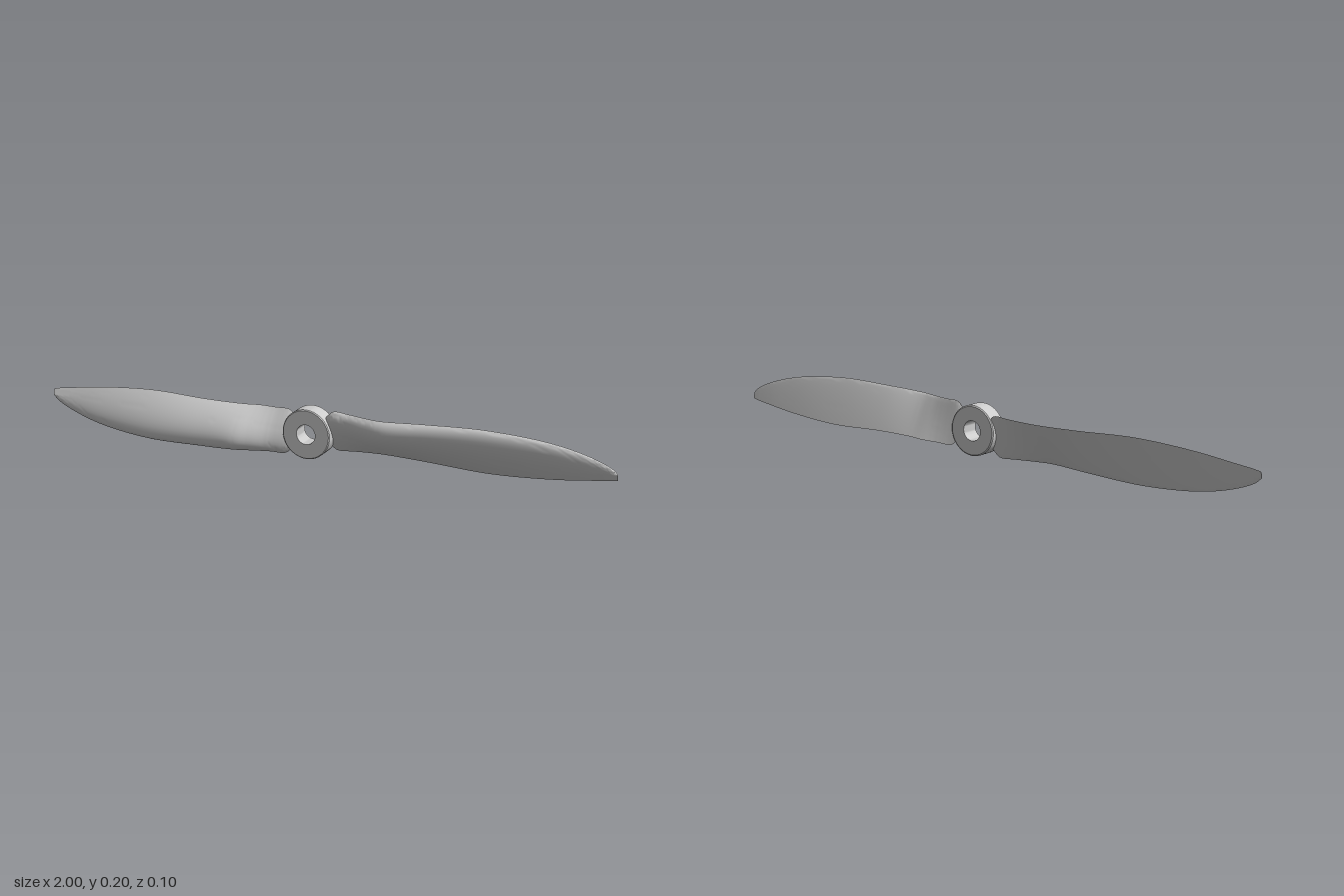
import * as THREE from 'three';
import { toCreasedNormals } from 'three/addons/utils/BufferGeometryUtils.js';

const CENTRE_Y = 0.104;
const material = new THREE.MeshStandardMaterial({ color: 0xcccccc });

// Stations along the blade: x, trailing edge y z, leading edge y z, thickness
const STATIONS = [
  [0.06, 0.068, -0.038, 0.165, -0.012, 0.016],
  [0.085, 0.047, -0.043, 0.186, -0.01, 0.024],
  [0.14, 0.048, -0.049, 0.187, -0.002, 0.029],
  [0.2, 0.05, -0.054, 0.188, 0.014, 0.036],
  [0.26, 0.053, -0.05, 0.19, 0.027, 0.039],
  [0.4, 0.053, -0.043, 0.198, 0.021, 0.034],
  [0.6, 0.048, -0.04, 0.205, 0.011, 0.027],
  [0.8, 0.063, -0.036, 0.188, -0.006, 0.017],
  [0.92, 0.08, -0.034, 0.158, -0.018, 0.01],
  [0.98, 0.089, -0.032, 0.132, -0.023, 0.006],
  [1.0, 0.094, -0.03, 0.115, -0.025, 0.004],
];

// Blade lofted through twisted airfoil sections, convex on the front
function bladeGeometry() {
  const curve = (f) => new THREE.CatmullRomCurve3(STATIONS.map(f), false, 'centripetal');
  const trailing = curve((s) => new THREE.Vector3(s[0], s[1] - CENTRE_Y, s[2]));
  const leading = curve((s) => new THREE.Vector3(s[0], s[3] - CENTRE_Y, s[4]));
  const thickness = curve((s) => new THREE.Vector3(s[0], s[5], 0));
  const rows = 80, half = 18, n = half * 2;
  const pos = [], index = [];

  for (let i = 0; i <= rows; i++) {
    const u = i / rows;
    const T = trailing.getPoint(u), L = leading.getPoint(u), t = thickness.getPoint(u).y;
    const dy = L.y - T.y, dz = L.z - T.z, len = Math.hypot(dy, dz);
    for (let j = 0; j < n; j++) {
      const s = (1 - Math.cos((j / half) * Math.PI)) / 2;
      const bulge = (s * Math.sqrt(Math.max(0, 1 - s))) / 0.385;
      const h = t * bulge * (j < half ? 1 : -0.08);
      pos.push(T.x + (L.x - T.x) * s, T.y + dy * s - (dz / len) * h, T.z + dz * s + (dy / len) * h);
    }
  }
  for (let i = 0; i < rows; i++) {
    for (let j = 0; j < n; j++) {
      const k = (j + 1) % n;
      const a = i * n + j, b = i * n + k, c = a + n, d = b + n;
      index.push(a, c, b, b, c, d);
    }
  }
  // Root and tip caps, joining front and back of each end section
  for (let j = 0; j < half; j++) {
    const k = (n - j) % n, m = n - j - 1, e = rows * n;
    index.push(j, j + 1, m, j, m, k);
    index.push(e + j, e + m, e + j + 1, e + j, e + k, e + m);
  }
  const g = new THREE.BufferGeometry();
  g.setAttribute('position', new THREE.Float32BufferAttribute(pos, 3));
  g.setIndex(index);
  return toCreasedNormals(g, 0.7);
}

// Hub ring with a through bore and bevelled rims
function hubGeometry() {
  const profile = [
    [0.033, -0.046], [0.079, -0.046], [0.083, -0.043], [0.083, 0.013],
    [0.08, 0.016], [0.033, 0.016], [0.033, -0.046],
  ].map(([r, z]) => new THREE.Vector2(r, z));
  const g = new THREE.LatheGeometry(profile, 64).rotateX(Math.PI / 2);
  return toCreasedNormals(g, 0.5);
}

export function createModel() {
  const propeller = new THREE.Group();
  propeller.name = 'propeller';

  const hub = new THREE.Mesh(hubGeometry(), material);
  hub.name = 'hub';
  hub.position.y = CENTRE_Y;
  propeller.add(hub);

  // Two identical blades, half a turn apart
  const geometry = bladeGeometry();
  ['leftBlade', 'rightBlade'].forEach((name, i) => {
    const blade = new THREE.Mesh(geometry, material);
    blade.name = name;
    blade.position.y = CENTRE_Y;
    blade.rotation.z = i * Math.PI;
    propeller.add(blade);
  });
  return propeller;
}
